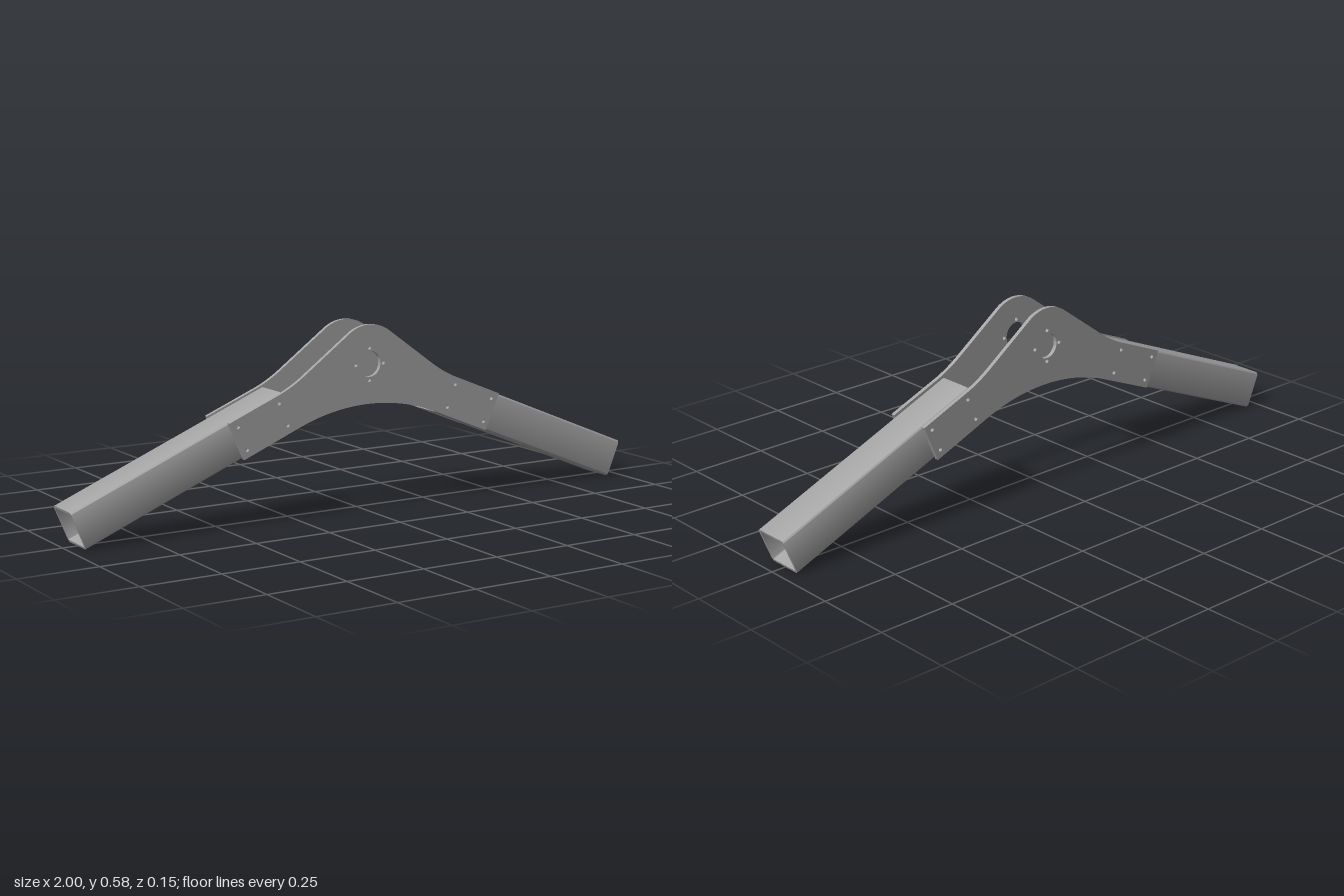
import * as THREE from 'three';
import { toCreasedNormals } from 'three/addons/utils/BufferGeometryUtils.js';

const TILT = 0.389; // downward slope of each arm
const DROP = Math.tan(TILT);

// Rounded rectangle centred on the origin
function roundedRect(path, w, h, r) {
  const x = w / 2, y = h / 2;
  path.moveTo(-x + r, -y);
  path.lineTo(x - r, -y);
  path.absarc(x - r, -y + r, r, -Math.PI / 2, 0);
  path.lineTo(x, y - r);
  path.absarc(x - r, y - r, r, 0, Math.PI / 2);
  path.lineTo(-x + r, y);
  path.absarc(-x + r, y - r, r, Math.PI / 2, Math.PI);
  path.lineTo(-x, -y + r);
  path.absarc(-x + r, -y + r, r, Math.PI, Math.PI * 1.5);
  return path;
}

// Hollow square tube running along +x from the origin
function tubeGeometry(length) {
  const shape = roundedRect(new THREE.Shape(), 0.122, 0.124, 0.011);
  shape.holes.push(roundedRect(new THREE.Path(), 0.106, 0.108, 0.004));
  const geo = new THREE.ExtrudeGeometry(shape, { depth: length, bevelEnabled: false, curveSegments: 6 });
  geo.rotateY(Math.PI / 2);
  return toCreasedNormals(geo, 0.6);
}

// Boomerang-shaped side plate with hub and bolt holes
function plateGeometry(thickness) {
  const hubY = 0.467, hubR = 0.122, a = 0.628;
  const tx = hubR * Math.sin(a), ty = hubY + hubR * Math.cos(a);
  const archR = 0.65, archY = 0.343 - archR;
  const shape = new THREE.Shape();
  shape.moveTo(0.44, 0.215);
  shape.lineTo(0.49, 0.33);
  shape.lineTo(0.33, 0.33 + 0.16 * DROP);
  shape.quadraticCurveTo(0.278, 0.416, 0.23, 0.451);
  shape.lineTo(tx, ty);
  shape.absarc(0, hubY, hubR, Math.PI / 2 - a, Math.PI / 2 + a);
  shape.lineTo(-0.23, 0.451);
  shape.quadraticCurveTo(-0.278, 0.416, -0.33, 0.33 + 0.16 * DROP);
  shape.lineTo(-0.49, 0.33);
  shape.lineTo(-0.44, 0.215);
  shape.absarc(0, archY, archR, Math.PI / 2 + TILT, Math.PI / 2 - TILT, true);

  const hole = (x, y, r) => shape.holes.push(new THREE.Path().absarc(x, y, r, 0, Math.PI * 2, true));
  hole(0, hubY, 0.04);
  for (let i = 0; i < 4; i++) {
    const t = i * Math.PI / 2;
    hole(0.05 * Math.cos(t), hubY + 0.05 * Math.sin(t), 0.006);
  }
  for (const s of [-1, 1]) {
    for (const [x, y] of [[0.32, 0.375], [0.29, 0.305], [0.46, 0.317], [0.43, 0.245]]) hole(s * x, y, 0.006);
  }
  const geo = new THREE.ExtrudeGeometry(shape, { depth: thickness, bevelEnabled: false, curveSegments: 20 });
  geo.translate(0, 0, -thickness / 2);
  return toCreasedNormals(geo, 0.6);
}

export function createModel() {
  const model = new THREE.Group();
  model.name = 'bracketFrame';
  const steel = new THREE.MeshStandardMaterial({ color: 0xa3a3a3 });
  steel.name = 'greySteel';

  // Two sloping box-section arms
  const tube = tubeGeometry(0.751);
  tube.rotateZ(-TILT);
  tube.translate(0.281, 0.347, 0);
  for (const [name, turn] of [['leftArm', 0], ['rightArm', Math.PI]]) {
    const arm = new THREE.Mesh(tube, steel);
    arm.name = name;
    arm.rotation.y = turn;
    model.add(arm);
  }

  // Front and back joining plates
  const plate = plateGeometry(0.013);
  for (const [name, z] of [['frontPlate', 0.07], ['backPlate', -0.07]]) {
    const mesh = new THREE.Mesh(plate, steel);
    mesh.name = name;
    mesh.position.z = z;
    model.add(mesh);
  }
  return model;
}
